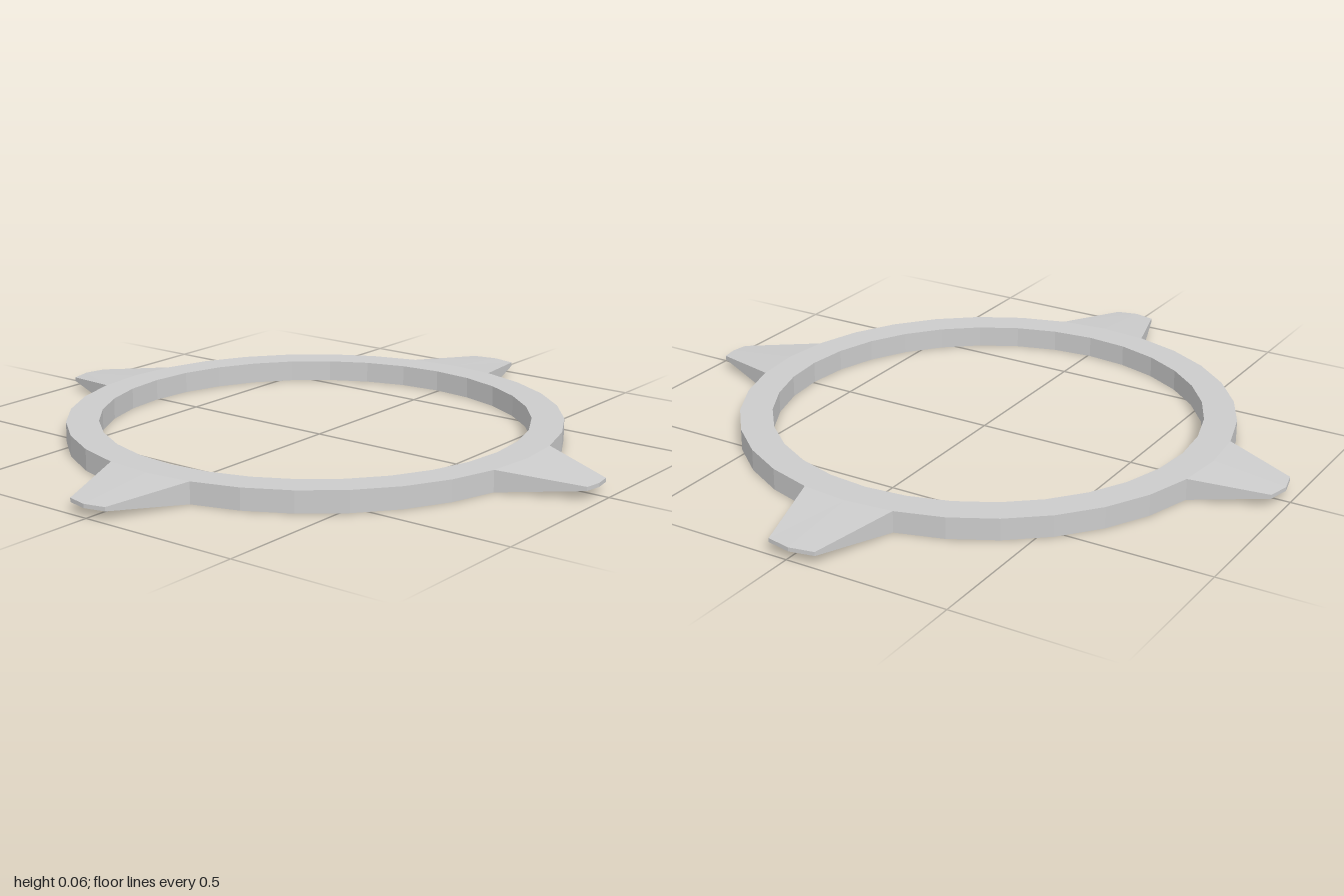
import * as THREE from 'three';

const SIDES = 32, R_IN = 0.652, R_OUT = 0.75, HEIGHT = 0.065;
const CX = -0.009, CZ = -0.008;
const TIP_LOW = 0.027, TIP_HIGH = 0.039;

const material = new THREE.MeshStandardMaterial({ color: 0xcccccc, flatShading: true });

// Collects four-cornered faces, corners counter-clockwise from outside
function faceBuilder() {
  const positions = [];
  return {
    quad(a, b, c, d) {
      for (const p of [a, b, c, a, c, d]) positions.push(...p);
    },
    mesh(name) {
      const g = new THREE.BufferGeometry();
      g.setAttribute('position', new THREE.Float32BufferAttribute(positions, 3));
      g.computeVertexNormals();
      const m = new THREE.Mesh(g, material);
      m.name = name;
      return m;
    },
  };
}

// Point on the ring at step i of SIDES
function ringPoint(r, i, y) {
  const a = (i / SIDES) * Math.PI * 2;
  return [CX + r * Math.cos(a), y, CZ + r * Math.sin(a)];
}

// Flat band; the outer wall is left open where a spike joins it
function makeRing() {
  const f = faceBuilder();
  for (let i = 0; i < SIDES; i++) {
    const [il, ih, ol, oh] = [[R_IN, 0], [R_IN, HEIGHT], [R_OUT, 0], [R_OUT, HEIGHT]]
      .map(([r, y]) => [ringPoint(r, i, y), ringPoint(r, i + 1, y)]);
    f.quad(ih[0], ih[1], oh[1], oh[0]);
    f.quad(ol[0], ol[1], il[1], il[0]);
    f.quad(il[1], ih[1], ih[0], il[0]);
    const underSpike = i % 8 === 0 || i % 8 === 7;
    if (!underSpike) f.quad(ol[0], oh[0], oh[1], ol[1]);
  }
  return f.mesh('ring');
}

// Tapered spike spanning two ring sides, with a thin three-point tip
function makeSpike(name, step, reach, shoulder, half) {
  const f = faceBuilder();
  const a = (step / SIDES) * Math.PI * 2;
  const tipPoint = (u, v, y) => [
    CX + u * Math.cos(a) - v * Math.sin(a), y,
    CZ + u * Math.sin(a) + v * Math.cos(a),
  ];
  const root = (y) => [-1, 0, 1].map((k) => ringPoint(R_OUT, step + k, y));
  const tip = (y) => [-1, 0, 1].map((k) => tipPoint(k ? shoulder : reach, k * half, y));
  const rl = root(0), rh = root(HEIGHT), tl = tip(TIP_LOW), th = tip(TIP_HIGH);
  for (let j = 0; j < 2; j++) {
    f.quad(rh[j], rh[j + 1], th[j + 1], th[j]);
    f.quad(tl[j], tl[j + 1], rl[j + 1], rl[j]);
    f.quad(tl[j], th[j], th[j + 1], tl[j + 1]);
  }
  f.quad(rl[0], rh[0], th[0], tl[0]);
  f.quad(tl[2], th[2], rh[2], rl[2]);
  return f.mesh(name);
}

export function createModel() {
  const group = new THREE.Group();
  group.name = 'spikedRing';
  group.add(makeRing());
  // name, ring step, tip reach, shoulder reach, half width of the tip
  const spikes = [
    ['leftSpike', 0, 1.009, 0.994, 0.075],
    ['frontSpike', 8, 0.981, 0.973, 0.051],
    ['rightSpike', 16, 0.991, 0.976, 0.064],
    ['backSpike', 24, 0.973, 0.957, 0.067],
  ];
  for (const s of spikes) group.add(makeSpike(...s));
  return group;
}
